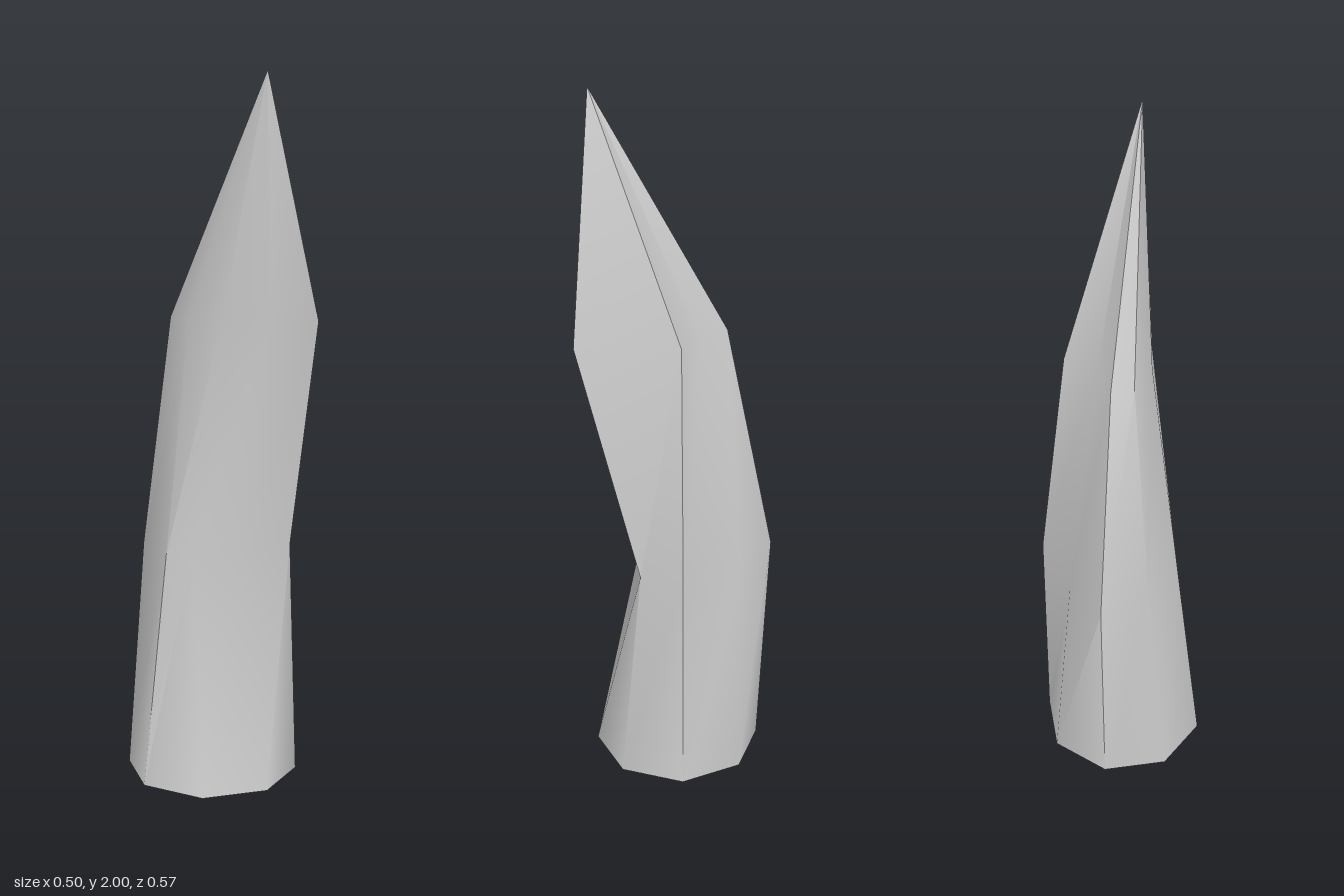
import * as THREE from 'three';
import { toCreasedNormals } from 'three/addons/utils/BufferGeometryUtils.js';

const SIDES = 8, RADIUS = 0.25, HEIGHT = 2, ROWS = 3;

// Shift [dx, dz] of each corner, starting at the front and going round by the left (+x)
const lowerShift = [[0, -0.055], [0.083, 0], [0.083, 0], [0, -0.057], [0, -0.113], [0, -0.057], [0, 0], [0, -0.06]];
const upperShift = [[0, 0.167], [0.085, 0.23], [0.083, 0], [0, 0], [0, -0.057], [0, -0.057], [0, 0], [0, 0.057]];
const tipShift = [0, 0.235];

export function createModel() {
  const group = new THREE.Group();

  // Eight-sided cone in three rows, with its upper rows pushed about into a crooked spike
  const cone = new THREE.ConeGeometry(RADIUS, HEIGHT, SIDES, ROWS);
  cone.translate(0, HEIGHT / 2, 0);
  const pos = cone.attributes.position;
  for (let i = 0; i < pos.count; i++) {
    const x = pos.getX(i), y = pos.getY(i), z = pos.getZ(i);
    const row = Math.round((y / HEIGHT) * ROWS);
    const turn = Math.round((Math.atan2(x, z) / (2 * Math.PI)) * SIDES);
    const side = (turn + SIDES) % SIDES;
    const [dx, dz] = [[0, 0], lowerShift[side], upperShift[side], tipShift][row];
    pos.setXYZ(i, x + dx, y, z + dz - 0.005);
  }

  const spike = new THREE.Mesh(
    toCreasedNormals(cone, 0.95),
    new THREE.MeshStandardMaterial({ color: 0xcccccc })
  );
  spike.name = 'crookedSpike';
  group.add(spike);
  return group;
}
